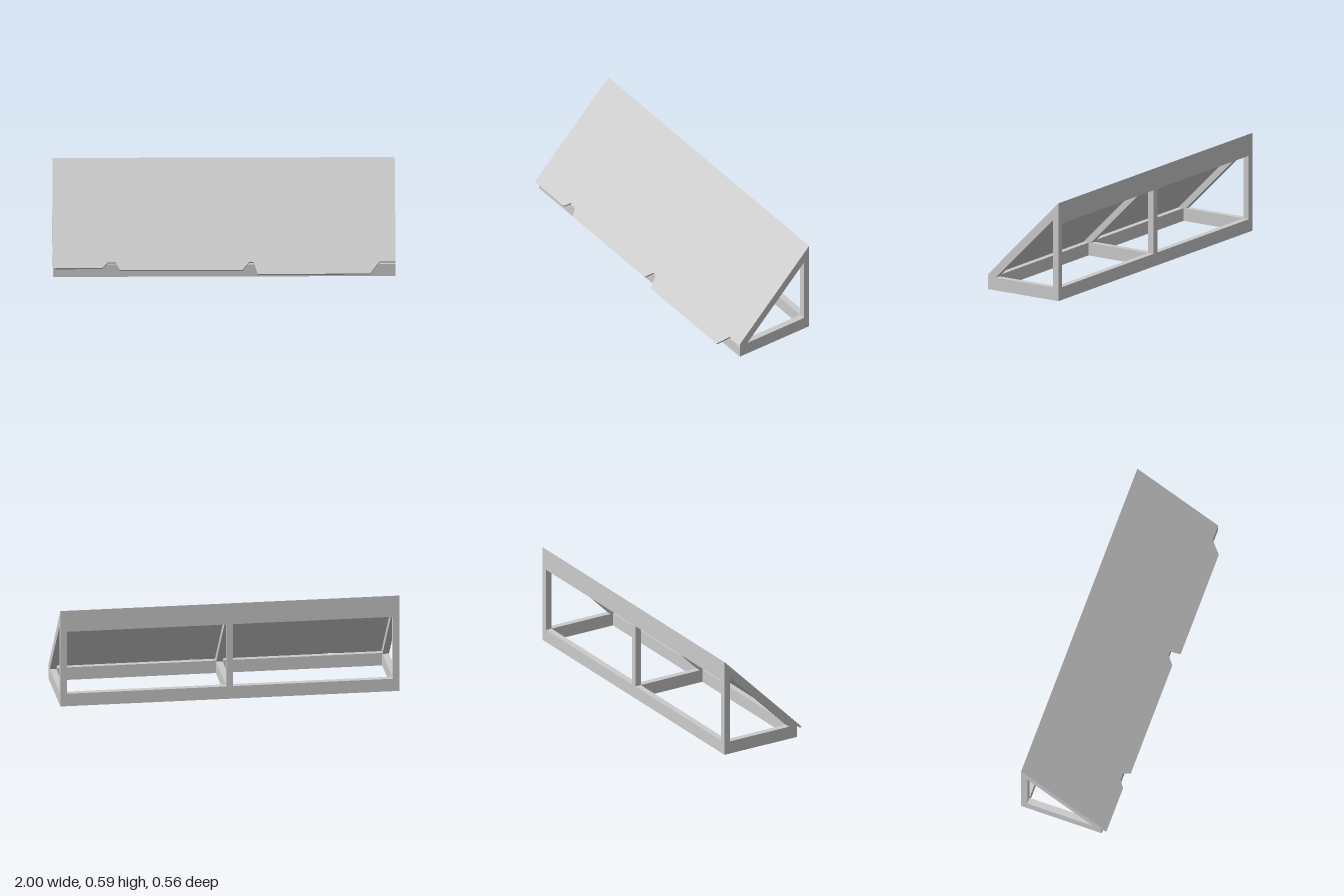
import * as THREE from 'three';

const BEAM = 0.038;            // timber thickness
const FRONT = 0.22, BACK = -0.28;
const TOP = 0.59, SILL = 0.077, PANEL = 0.012;
const UNDER = 0.31 - PANEL * Math.SQRT2; // y + z along the panel's underside
const INNER = 0.242;                     // y + z along the rafter's underside

const material = new THREE.MeshStandardMaterial({ color: 0xcccccc, flatShading: true });

// Points are [z, y]; the extrusion runs along x from x0 to x1.
const toPoints = (pts) => pts.map(([z, y]) => new THREE.Vector2(-z, y));

function extrudeAlongX(name, pts, x0, x1, hole) {
  const shape = new THREE.Shape(toPoints(pts));
  if (hole) shape.holes.push(new THREE.Path(toPoints(hole)));
  const geometry = new THREE.ExtrudeGeometry(shape, { depth: x1 - x0, bevelEnabled: false });
  geometry.rotateY(Math.PI / 2).translate(x0, 0, 0);
  const mesh = new THREE.Mesh(geometry, material);
  mesh.name = name;
  return mesh;
}

// Sloping panel with a notched lower edge, tilted 45 degrees
function createPanel() {
  const edge = [ // [x, height of the lower edge]
    [-1, 0.06], [-0.715, 0.06], [-0.68, 0.088], [-0.635, 0.088], [-0.61, 0.05], [0.105, 0.05],
    [0.145, 0.088], [0.17, 0.088], [0.195, 0.03], [0.85, 0.03], [0.905, 0.088], [1, 0.088],
  ];
  const pts = edge.map(([x, y]) => new THREE.Vector2(x, (y - TOP) * Math.SQRT2));
  pts.push(new THREE.Vector2(1, 0), new THREE.Vector2(-1, 0));
  const geometry = new THREE.ExtrudeGeometry(new THREE.Shape(pts), { depth: PANEL, bevelEnabled: false });
  geometry.translate(0, 0, -PANEL);

  // Mitre the ridge so it ends flush with the upright back
  const pos = geometry.attributes.position;
  for (let i = 0; i < pos.count; i++) {
    if (pos.getY(i) > -1e-6) pos.setY(i, pos.getZ(i));
  }
  geometry.rotateX(-Math.PI / 4).translate(0, TOP, BACK);
  geometry.computeVertexNormals();
  const mesh = new THREE.Mesh(geometry, material);
  mesh.name = 'slopingPanel';
  return mesh;
}

export function createModel() {
  const group = new THREE.Group();
  group.name = 'slopedStand';
  group.add(createPanel());

  // Three triangular frames: both ends and the middle
  const outline = [[FRONT, 0], [BACK, 0], [BACK, UNDER - BACK], [FRONT, UNDER - FRONT]];
  const inBack = BACK + BEAM;
  const opening = [[INNER - SILL, SILL], [inBack, SILL], [inBack, INNER - inBack]];
  const frames = { rightFrame: -1 + BEAM / 2, middleFrame: 0, leftFrame: 1 - BEAM / 2 };
  for (const [name, x] of Object.entries(frames)) {
    group.add(extrudeAlongX(name, outline, x - BEAM / 2, x + BEAM / 2, opening));
  }

  // Rails spanning the two bays between the frames
  const inFront = FRONT - BEAM;
  const rails = {
    FrontRail: [[FRONT, 0], [inFront, 0], [inFront, SILL], [UNDER - SILL, SILL], [FRONT, UNDER - FRONT]],
    BackBottomRail: [[inBack, 0], [BACK, 0], [BACK, SILL], [inBack, SILL]],
    BackTopRail: [[inBack, 0.46], [BACK, 0.46], [BACK, UNDER - BACK], [inBack, UNDER - inBack]],
  };
  const bays = { right: [-1 + BEAM, -BEAM / 2], left: [BEAM / 2, 1 - BEAM] };
  for (const [side, [x0, x1]] of Object.entries(bays)) {
    for (const [rail, profile] of Object.entries(rails)) {
      group.add(extrudeAlongX(side + rail, profile, x0, x1));
    }
  }
  return group;
}
